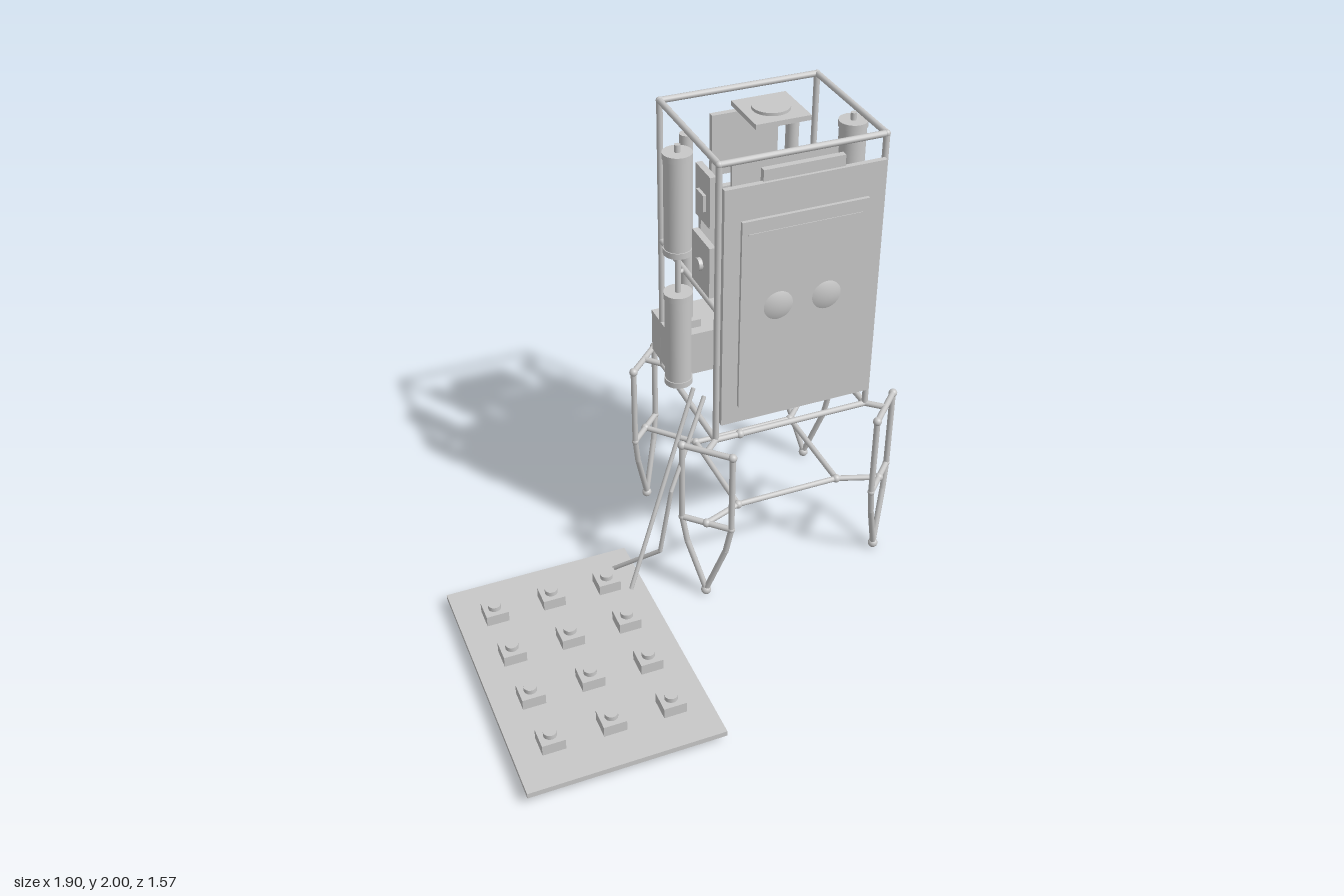
import * as THREE from 'three';

export function createModel() {
  const model = new THREE.Group();
  const grey = new THREE.MeshStandardMaterial({ color: 0xc8c8c8 });
  grey.name = 'lightGrey';

  const V = (x, y, z) => new THREE.Vector3(x, y, z);
  const part = (name) => {
    const g = new THREE.Group();
    g.name = name;
    model.add(g);
    return g;
  };
  const add = (parent, name, geometry, x = 0, y = 0, z = 0) => {
    const m = new THREE.Mesh(geometry, grey);
    m.name = name;
    m.position.set(x, y, z);
    parent.add(m);
    return m;
  };
  // box given by its limits on each axis
  const box = (parent, name, x0, x1, y0, y1, z0, z1) =>
    add(parent, name, new THREE.BoxGeometry(x1 - x0, y1 - y0, z1 - z0),
      (x0 + x1) / 2, (y0 + y1) / 2, (z0 + z1) / 2);
  // upright cylinder from y0 to y1
  const post = (parent, name, r, x, y0, y1, z) =>
    add(parent, name, new THREE.CylinderGeometry(r, r, y1 - y0, 24), x, (y0 + y1) / 2, z);
  // round bar between two points
  const bar = (parent, name, a, b, r = 0.0125) => {
    const m = add(parent, name, new THREE.CylinderGeometry(r, r, a.distanceTo(b), 12));
    m.position.copy(a).add(b).multiplyScalar(0.5);
    m.quaternion.setFromUnitVectors(V(0, 1, 0), b.clone().sub(a).normalize());
    return m;
  };
  const ball = (parent, p, r = 0.018) =>
    add(parent, 'joint', new THREE.SphereGeometry(r, 16, 12), p.x, p.y, p.z);

  // main frame
  const L = 0.13, R = 0.79, F = -0.058, B = -0.63, low = 0.752, mid = 1.353, top = 1.955;
  const frame = part('frame');
  const corners = [[L, F], [R, F], [R, B], [L, B]];
  corners.forEach(([x, z], i) => {
    const [nx, nz] = corners[(i + 1) % 4];
    bar(frame, 'post', V(x, low, z), V(x, top, z));
    for (const y of [low, top]) {
      bar(frame, 'rail', V(x, y, z), V(nx, y, nz));
      ball(frame, V(x, y, z), 0.014);
    }
  });
  for (const x of [L, R]) bar(frame, 'sideRail', V(x, mid, F), V(x, mid, B), 0.012);
  ball(frame, V(0.235, low, F));

  // four legs set on the diagonals, joined by a lower brace
  const brace = part('lowerBrace');
  const y1 = 0.388;
  const inner = [[0.235, -0.06], [0.685, -0.06], [0.685, -0.515], [0.235, -0.515]];
  const centres = [[0.07, 0], [0.855, 0], [0.855, -0.695], [0.07, -0.695]];
  const slopes = [1, -1, 1, -1];
  centres.forEach(([cx, cz], i) => {
    const leg = part('leg');
    const at = (o, y) => V(cx + o, y, cz + o * slopes[i]);
    for (const s of [-1, 1]) {
      const o = s * 0.076, knee = at(s * 0.06, 0.268);
      bar(leg, 'legPost', at(o, low), at(o, y1));
      ball(leg, at(o, low));
      ball(leg, at(o, y1), 0.015);
      bar(leg, 'upperShin', at(o, y1), knee);
      ball(leg, knee, 0.0125);
      bar(leg, 'lowerShin', knee, at(0, 0.03));
    }
    for (const y of [low, y1]) bar(leg, 'crossBar', at(-0.076, y), at(0.076, y));
    ball(leg, at(0, y1));
    ball(leg, at(0, 0.025), 0.021);
    const [fx, fz] = corners[i];
    bar(leg, 'frameLink', V(fx, low, fz), at(0, low));

    const [ix, iz] = inner[i], [jx, jz] = inner[(i + 1) % 4];
    bar(brace, 'braceLink', V(ix, y1, iz), at(0, y1), 0.012);
    bar(brace, 'braceRail', V(ix, y1, iz), V(jx, y1, jz), 0.012);
    ball(brace, V(ix, y1, iz));
  });

  // front board with a raised panel, slot ridge and two shallow domes
  const front = part('frontBoard');
  box(front, 'board', 0.14, 0.785, 0.84, 1.865, -0.05, -0.028);
  box(front, 'topTab', 0.295, 0.62, 1.85, 1.91, -0.065, -0.04);
  box(front, 'panel', 0.205, 0.717, 0.92, 1.73, -0.03, -0.014);
  box(front, 'ridge', 0.23, 0.69, 1.672, 1.678, -0.015, -0.011);
  const capRadius = 0.156;
  for (const x of [0.36, 0.56]) {
    add(front, 'dome', new THREE.SphereGeometry(capRadius, 32, 8, 0, Math.PI * 2, 0, 0.395),
      x, 1.35, -0.002 - capRadius).rotation.x = Math.PI / 2;
  }

  // inner board standing on two feet
  const innerBoard = part('innerBoard');
  box(innerBoard, 'board', 0.245, 0.675, 0.81, 1.86, -0.217, -0.203);
  box(innerBoard, 'thickPanel', 0.285, 0.635, 0.9, 1.72, -0.232, -0.19);
  for (const x of [0.3, 0.49]) box(innerBoard, 'foot', x, x + 0.133, 0.765, 0.798, -0.26, -0.155);
  box(innerBoard, 'footBar', 0.255, 0.675, 0.79, 0.815, -0.235, -0.195);

  // roof sensor
  const roof = part('roofPlate');
  box(roof, 'plate', 0.35, 0.573, 1.968, 1.988, -0.46, -0.235);
  post(roof, 'disc', 0.074, 0.4615, 1.986, 2.0, -0.348);

  // pairs of tanks on a rod at each side
  for (const x of [0.1, 0.824]) {
    const tanks = part('sideTanks');
    post(tanks, 'rod', 0.012, x, 0.81, 1.895, -0.375);
    for (const y of [0.84, 1.44]) {
      post(tanks, 'tank', 0.054, x, y, y + 0.425, -0.375);
      post(tanks, 'bottomBand', 0.058, x, y, y + 0.025, -0.375);
      post(tanks, 'topBand', 0.058, x, y + 0.4, y + 0.425, -0.375);
    }
    bar(tanks, 'bracket', V(x < 0.4 ? L : R, mid, -0.375), V(x, mid, -0.375), 0.01);
  }

  // small modules on the side by the keypad
  const modules = part('sideModules');
  box(modules, 'upperPlate', 0.1, 0.125, 1.7, 1.905, -0.2, -0.065);
  box(modules, 'upperChip', 0.088, 0.102, 1.755, 1.82, -0.165, -0.1);
  box(modules, 'lowerPlate', 0.1, 0.125, 1.41, 1.62, -0.23, -0.065);
  add(modules, 'lowerDisc', new THREE.CylinderGeometry(0.025, 0.025, 0.02, 20),
    0.095, 1.515, -0.147).rotation.z = Math.PI / 2;

  // modules at the back
  const back = part('backModules');
  box(back, 'upperPlate', 0.32, 0.6, 1.63, 1.885, -0.592, -0.567);
  box(back, 'upperChip', 0.415, 0.505, 1.7, 1.785, -0.615, -0.59);
  box(back, 'lowerPlate', 0.275, 0.65, 1.2, 1.575, -0.592, -0.567);
  box(back, 'lowerBlock', 0.355, 0.57, 1.275, 1.5, -0.615, -0.59);

  // upright rods on square bases at the back
  for (const [x, z] of [[0.215, -0.572], [0.685, -0.615]]) {
    const rod = part('backRod');
    box(rod, 'base', x - 0.046, x + 0.046, 0.973, 1.008, z - 0.046, z + 0.046);
    post(rod, 'rod', 0.027, x, 1.0, 1.83, z);
  }

  // box with a round cover at the back
  const rear = part('rearBox');
  box(rear, 'body', 0.12, 0.625, 0.775, 0.97, -0.725, -0.485);
  add(rear, 'roundCover', new THREE.CylinderGeometry(0.09, 0.09, 0.02, 32),
    0.367, 0.872, -0.73).rotation.x = Math.PI / 2;

  // keypad with twelve buttons
  const keypad = part('keypad');
  box(keypad, 'plate', -0.953, -0.172, 0.043, 0.066, -0.33, 0.785);
  for (let i = 0; i < 3; i++) {
    for (let j = 0; j < 4; j++) {
      const x = -0.801 + i * 0.24, z = -0.136 + j * 0.242;
      box(keypad, 'buttonBase', x - 0.046, x + 0.046, 0.065, 0.113, z - 0.046, z + 0.046);
      post(keypad, 'button', 0.026, x, 0.11, 0.133, z);
    }
  }

  // cables from the frame to the keypad
  const cables = part('cables');
  const path = [V(-0.26, 0.066, -0.225), V(-0.11, 0.25, -0.06), V(-0.065, 0.56, -0.045), V(0.125, 0.895, -0.165)];
  for (let i = 0; i < 3; i++) {
    bar(cables, 'bentCable', path[i], path[i + 1], 0.009);
    if (i) ball(cables, path[i], 0.009);
  }
  bar(cables, 'straightCable', V(-0.235, 0.07, -0.075), V(0.12, 0.87, -0.265), 0.009);

  return model;
}
